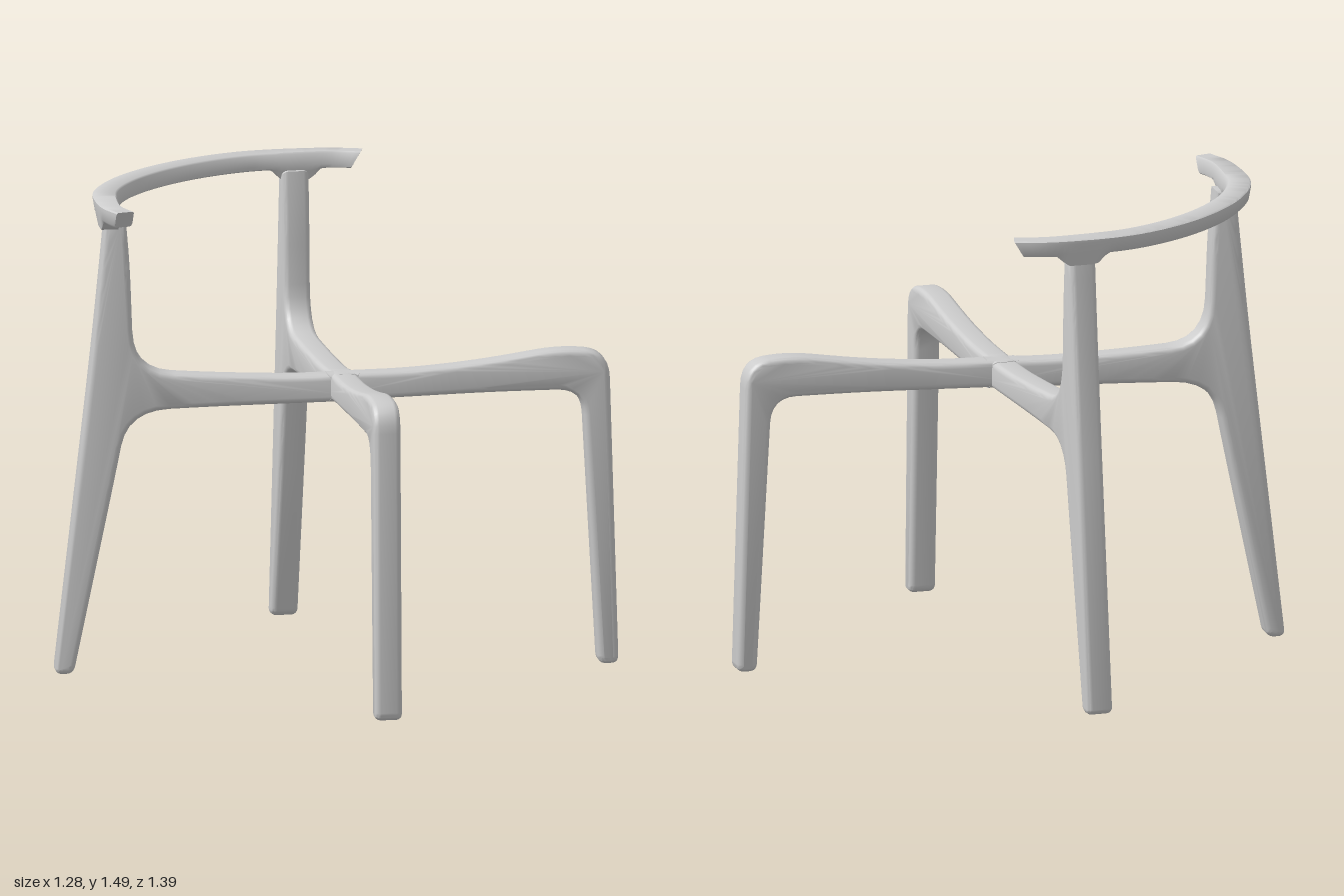
import * as THREE from 'three';
import { toCreasedNormals } from 'three/addons/utils/BufferGeometryUtils.js';

const BAR_WIDTH = 0.085, BEVEL = 0.018;

// Closed outline through [x, y, cornerRadius] points
function roundedShape(points) {
  const shape = new THREE.Shape();
  const n = points.length;
  points.forEach(([x, y, r], i) => {
    const p = new THREE.Vector2(x, y);
    const toward = (q) => {
      const d = new THREE.Vector2(q[0], q[1]).sub(p);
      return d.setLength(Math.min(r, d.length() * 0.48)).add(p);
    };
    const a = toward(points[(i + n - 1) % n]);
    const b = toward(points[(i + 1) % n]);
    if (i === 0) shape.moveTo(a.x, a.y);
    else shape.lineTo(a.x, a.y);
    shape.quadraticCurveTo(x, y, b.x, b.y);
  });
  return shape;
}

// Rounded slab, outline drawn as (distance from crossing, height)
function slab(points) {
  const geo = new THREE.ExtrudeGeometry(roundedShape(points), {
    depth: BAR_WIDTH - 2 * BEVEL, curveSegments: 6,
    bevelEnabled: true, bevelSize: BEVEL, bevelThickness: BEVEL, bevelOffset: -BEVEL, bevelSegments: 4,
  });
  geo.translate(0, 0, -BAR_WIDTH / 2 + BEVEL);
  return toCreasedNormals(geo, 0.7);
}

// Curved top rail with slanted ends and a flared boss over each post
function railGeometry() {
  const half = [[0.615, -0.275], [0.57, -0.355], [0.49, -0.437], [0.36, -0.535], [0.19, -0.595]];
  const path = new THREE.CatmullRomCurve3([
    ...half.map(([x, z]) => new THREE.Vector3(-x, 0, z)),
    new THREE.Vector3(0, 0, -0.615),
    ...half.slice().reverse().map(([x, z]) => new THREE.Vector3(x, 0, z)),
  ], false, 'centripetal');
  // [outward, depth below top, boss share], counter-clockwise
  const ring = [
    [0.43, 0.85, 0], [0.5, 0.25, 0], [0.5, 0.08, 0], [0.43, 0, 0], [-0.36, 0, 0], [-0.43, 0.1, 0],
    [-0.5, 0.75, 0], [-0.48, 0.93, 0.3], [-0.4, 1, 1], [0.33, 1, 1],
  ];
  const STEPS = 80, R = ring.length, pos = [], idx = [];
  for (let i = 0; i <= STEPS; i++) {
    const u = i / STEPS;
    const p = path.getPointAt(u), t = path.getTangentAt(u);
    const toEnd = Math.abs(2 * u - 1);
    const width = 0.08 - 0.018 * THREE.MathUtils.smoothstep(toEnd, 0.6, 1);
    const fromPost = Math.hypot(Math.abs(p.x) - 0.487, p.z + 0.437);
    const boss = 0.033 * (1 - THREE.MathUtils.smoothstep(fromPost, 0.042, 0.085));
    const slant = -0.03 * Math.sign(u - 0.5) * Math.max(0, (toEnd - 0.9) / 0.1);
    for (const [out, down, share] of ring) {
      const a = out * width, s = slant * down;
      pos.push(p.x + t.z * a + t.x * s, 1.485 - 0.052 * down - boss * share, p.z - t.x * a + t.z * s);
    }
  }
  for (let i = 0; i < STEPS; i++) {
    for (let j = 0; j < R; j++) {
      const a = i * R + j, b = i * R + (j + 1) % R;
      idx.push(a, b, a + R, b, b + R, a + R);
    }
  }
  const last = STEPS * R;
  for (let j = 1; j < R - 1; j++) idx.push(0, j + 1, j, last, last + j, last + j + 1);
  const geo = new THREE.BufferGeometry();
  geo.setAttribute('position', new THREE.Float32BufferAttribute(pos, 3));
  geo.setIndex(idx);
  return toCreasedNormals(geo, 0.75);
}

export function createModel() {
  const model = new THREE.Group();
  model.name = 'chairFrame';
  const grey = new THREE.MeshStandardMaterial({ color: 0xcccccc });
  grey.name = 'grey';

  // Front leg and its half of the crossing bar
  const frontGeo = slab([
    [-0.05, 0.845, 0], [0.45, 0.86, 0.1], [0.742, 0.862, 0.08], [0.79, 0, 0.025], [0.854, 0, 0.025],
    [0.825, 0.975, 0.08], [0.68, 0.992, 0.08], [0.42, 0.952, 0.12], [0.2, 0.934, 0.08], [-0.05, 0.93, 0],
  ]);

  // Back leg, its half of the bar, and the post up to the rail
  const backGeo = slab([
    [-0.05, 0.845, 0], [0.4, 0.835, 0.1], [0.665, 0.825, 0.13], [0.71, 0.6, 0.12], [0.834, 0.005, 0.025],
    [0.893, 0.005, 0.025], [0.779, 1.0, 0.2], [0.751, 1.28, 0.08], [0.737, 1.43, 0],
    [0.673, 1.43, 0], [0.66, 1.28, 0.08], [0.648, 0.95, 0.13], [0.4, 0.933, 0.12], [0.15, 0.925, 0.08], [-0.05, 0.932, 0],
  ]);

  // Four arms radiating from the crossing point
  for (const side of [1, -1]) {
    const sideName = side > 0 ? 'Left' : 'Right';
    for (const [name, geo, dx, dz] of [['front', frontGeo, 0.698, 0.716], ['back', backGeo, 0.665, -0.747]]) {
      const arm = new THREE.Mesh(geo, grey);
      arm.name = `${name}${sideName}LegAndBar`;
      arm.position.z = 0.1;
      arm.rotation.y = Math.atan2(-dz, dx * side);
      model.add(arm);
    }
  }

  const rail = new THREE.Mesh(railGeometry(), grey);
  rail.name = 'backRail';
  model.add(rail);
  return model;
}
